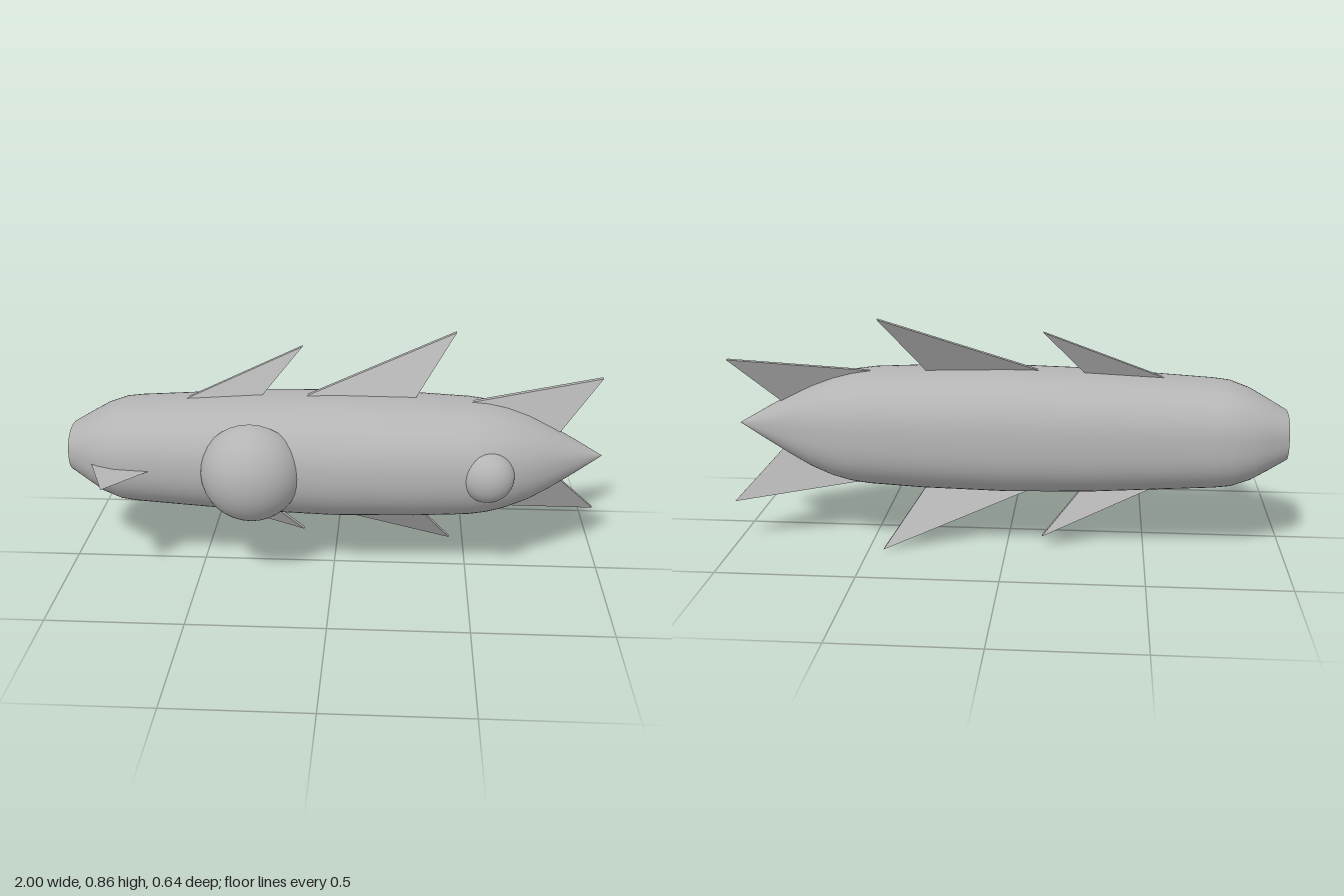
import * as THREE from 'three';
import { ConvexGeometry } from 'three/addons/geometries/ConvexGeometry.js';

const MID_Y = 0.432;

// Hull stations: x, half height, front z, back z
const STATIONS = [
  [-1, 0.087, 0.02, -0.19], [-0.93, 0.127, 0.07, -0.233], [-0.87, 0.16, 0.113, -0.266],
  [-0.8, 0.185, 0.14, -0.285], [-0.74, 0.192, 0.147, -0.29], [-0.6, 0.2, 0.158, -0.298],
  [-0.3, 0.217, 0.18, -0.317], [0, 0.2235, 0.194, -0.325], [0.3, 0.218, 0.187, -0.318],
  [0.5, 0.209, 0.175, -0.305], [0.57, 0.2, 0.162, -0.295], [0.64, 0.183, 0.138, -0.275],
  [0.72, 0.153, 0.104, -0.243], [0.8, 0.113, 0.055, -0.2], [0.9, 0.058, -0.015, -0.146],
  [1, 0.0005, -0.09, -0.091],
];

const signedPow = (v, p) => Math.sign(v) * Math.pow(Math.abs(v), p);

// Rounded-square cross-sections lofted along x, open at the tail
function hullGeometry(sides = 64) {
  const pos = [], idx = [];
  STATIONS.forEach(([x, h, front, back], i) => {
    for (let j = 0; j < sides; j++) {
      const a = (j / sides) * Math.PI * 2;
      const p = Math.cos(a) > 0 ? 2 / 2.2 : 2 / 2.5;
      pos.push(x, MID_Y + h * signedPow(Math.sin(a), p),
        (front + back) / 2 + ((front - back) / 2) * signedPow(Math.cos(a), p));
      if (i < STATIONS.length - 1) {
        const k = (j + 1) % sides, r = i * sides, n = r + sides;
        idx.push(r + j, n + j, r + k, n + j, n + k, r + k);
      }
    }
  });
  const g = new THREE.BufferGeometry();
  g.setAttribute('position', new THREE.Float32BufferAttribute(pos, 3));
  g.setIndex(idx);
  g.computeVertexNormals();
  return g;
}

// Swept triangular plate, 0.02 thick in z; side -1 mirrors it below the hull
function finGeometry(corners, side) {
  const pts = [];
  for (const [x, dy, z] of corners)
    for (const t of [0, -0.02]) pts.push(new THREE.Vector3(x, MID_Y + side * dy, z + t));
  return new ConvexGeometry(pts);
}

export function createModel() {
  const group = new THREE.Group();
  const grey = new THREE.MeshStandardMaterial({ color: 0xb4b4b4, side: THREE.DoubleSide });
  grey.name = 'hull grey';
  const add = (name, geometry) => {
    const m = new THREE.Mesh(geometry, grey);
    m.name = name;
    group.add(m);
    return m;
  };

  add('hull', hullGeometry());

  // Shallow domes on the front face
  for (const [name, x, r, depth] of [['largeDome', -0.297, 0.184, 0.165], ['smallDome', 0.56, 0.096, 0.081]]) {
    const g = new THREE.SphereGeometry(r, 32, 16, 0, Math.PI * 2, 0, Math.PI / 2);
    g.rotateX(Math.PI / 2).scale(1, 1, depth / r);
    add(name, g).position.set(x, MID_Y, 0.131);
  }

  // Fin corners: leading root, trailing root, tip (y measured from the hull axis)
  const fins = {
    tailFin: [[-0.57, 0.197, -0.07], [-0.285, 0.205, -0.078], [-0.13, 0.38, -0.172]],
    middleFin: [[-0.12, 0.217, -0.07], [0.29, 0.205, -0.082], [0.447, 0.428, -0.226]],
    noseFin: [[0.48, 0.205, -0.07], [0.835, 0.088, -0.085], [1, 0.267, -0.194]],
  };
  for (const [name, corners] of Object.entries(fins)) {
    add(name + 'Upper', finGeometry(corners, 1));
    add(name + 'Lower', finGeometry(corners, -1));
  }

  // Flat triangular vane near the tail
  const vane = new THREE.Shape([[-0.9, 0.08], [-0.66, 0.14], [-0.807, 0.32]].map(([x, z]) => new THREE.Vector2(x, -z)));
  add('tailVane', new THREE.ShapeGeometry(vane).rotateX(-Math.PI / 2)).position.y = MID_Y;

  return group;
}
